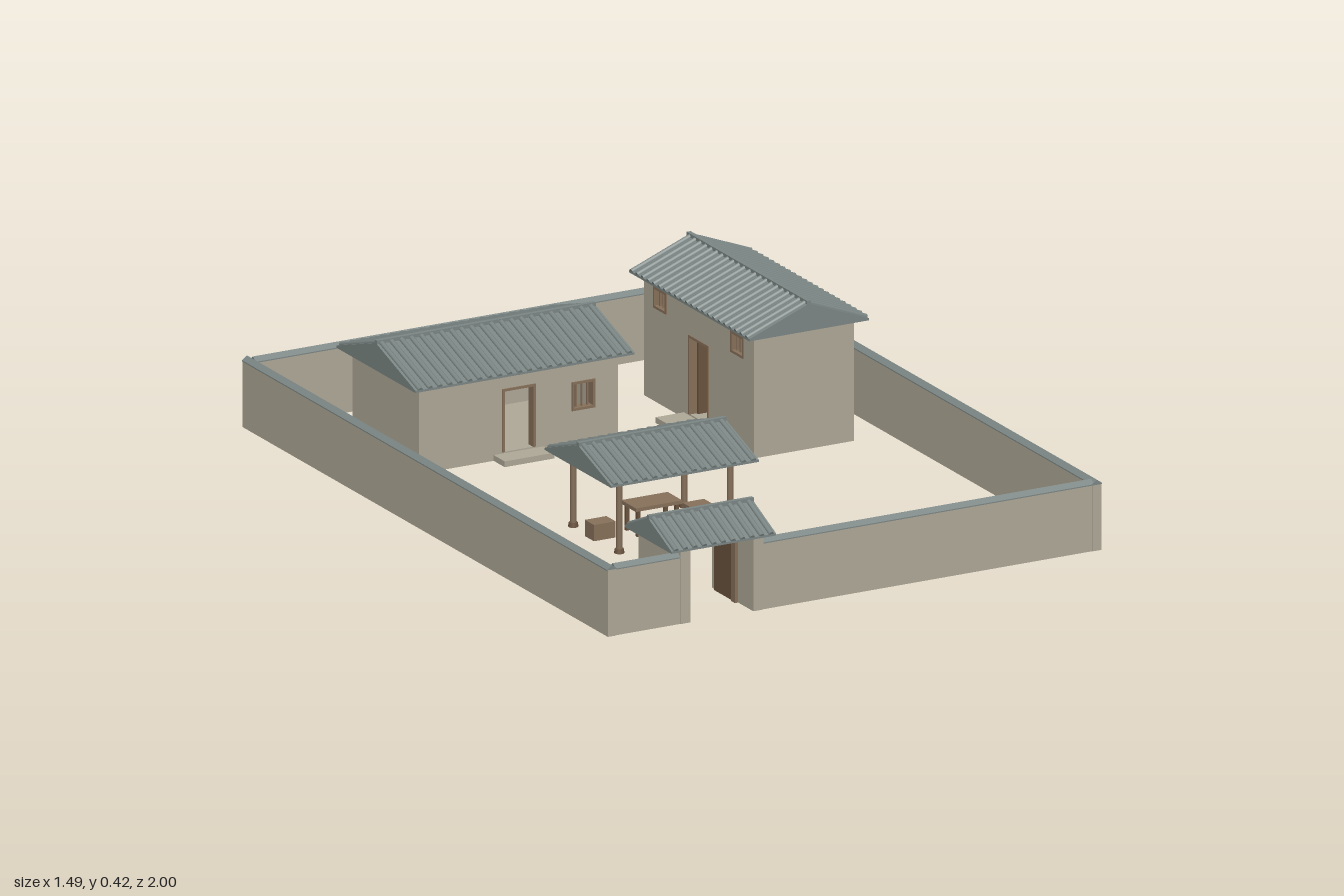
import * as THREE from 'three';
import { mergeGeometries } from 'three/addons/utils/BufferGeometryUtils.js';

const mat = (name, color) => {
  const m = new THREE.MeshStandardMaterial({ color });
  m.name = name;
  return m;
};

export function createModel() {
  const plaster = mat('plaster', 0xaea897);
  const tile = mat('roofTile', 0x7b8684);
  const wood = mat('wood', 0x86705a);
  const darkWood = mat('darkWood', 0x6a523d);
  const root = new THREE.Group();
  root.name = 'courtyard';

  const group = (name, parent, x = 0, y = 0, z = 0) => {
    const g = new THREE.Group();
    g.name = name;
    g.position.set(x, y, z);
    parent.add(g);
    return g;
  };
  const add = (parent, name, geo, m, x = 0, y = 0, z = 0) => {
    const mesh = new THREE.Mesh(geo, m);
    mesh.name = name;
    mesh.position.set(x, y, z);
    parent.add(mesh);
    return mesh;
  };
  // Box given by its centre in x and z and its lower face in y
  const box = (parent, name, m, w, h, d, x, y, z) =>
    add(parent, name, new THREE.BoxGeometry(w, h, d), m, x, y + h / 2, z);

  // Gabled prism with its ridge along x and a thin upright eave edge
  const prism = (w, d, rise, edge) => {
    const s = new THREE.Shape([[-d / 2, 0], [d / 2, 0], [d / 2, edge], [0, rise], [-d / 2, edge]]
      .map(([a, b]) => new THREE.Vector2(a, b)));
    const g = new THREE.ExtrudeGeometry(s, { depth: w, bevelEnabled: false });
    return g.translate(0, 0, -w / 2).rotateY(Math.PI / 2);
  };

  // Tiled roof: prism, round tile rows down both slopes, ridge bar
  const roof = (parent, w, d, rise, x, y, z) => {
    const r = group('roof', parent, x, y, z);
    const peak = rise - 0.006, edge = 0.006, drop = peak - edge;
    add(r, 'roofBody', prism(w, d, peak, edge), tile);
    const n = Math.round(w / 0.03), step = w / n, len = Math.hypot(d / 2, drop);
    const rows = [];
    for (const side of [-1, 1]) {
      for (let i = 0; i < n; i++) {
        const g = new THREE.CylinderGeometry(0.0075, 0.0075, len, 8);
        g.rotateX(Math.atan2(side * d / 2, -drop));
        rows.push(g.translate(-w / 2 + (i + 0.5) * step, edge + drop / 2, side * d / 4));
      }
    }
    add(r, 'tileRows', mergeGeometries(rows), tile);
    box(r, 'ridge', tile, w, 0.012, 0.012, 0, rise - 0.01, 0);
  };

  // Rectangular wooden frame around an opening in the xy plane
  const frame = (parent, name, w, h, x, y, z, t = 0.007) => {
    const f = group(name, parent, x, y, z);
    for (const s of [-1, 1]) {
      box(f, 'jamb', wood, t, h, 0.026, s * (w - t) / 2, 0, 0);
    }
    box(f, 'head', wood, w, t, 0.026, 0, h - t, 0);
    return f;
  };

  // House facing +z, with open doorway, door leaf, barred windows and doorstep
  const house = (name, x, z, o) => {
    const { w, d, h, door, windows } = o, t = 0.02, floor = 0.02;
    const g = group(name, root, x, 0, z);
    const rect = (P, cx, y0, rw, rh) => new P([[-1, 0], [1, 0], [1, 1], [-1, 1]]
      .map(([a, b]) => new THREE.Vector2(cx + a * rw / 2, y0 + b * rh)));
    const front = rect(THREE.Shape, 0, 0, w, h);
    front.holes.push(rect(THREE.Path, 0, floor, door.w, door.h));
    for (const v of windows) front.holes.push(rect(THREE.Path, v.x, v.y, v.w, v.h));
    const fz = d / 2 - t / 2;
    add(g, 'frontWall', new THREE.ExtrudeGeometry(front, { depth: t, bevelEnabled: false }),
      plaster, 0, 0, d / 2 - t);
    box(g, 'backWall', plaster, w, h, t, 0, 0, -fz);
    for (const s of [-1, 1]) box(g, 'sideWall', plaster, t, h, d - 2 * t, s * (w - t) / 2, 0, 0);
    box(g, 'floor', plaster, w - 2 * t, floor, d - 2 * t, 0, 0, 0);
    frame(g, 'doorFrame', door.w, door.h, 0, floor, fz);
    box(g, 'doorLeaf', darkWood, 0.008, door.h - 0.01, door.w - 0.015,
      -door.w / 2 + 0.011, floor, d / 2 - t - (door.w - 0.015) / 2);
    for (const v of windows) {
      const f = frame(g, 'windowFrame', v.w, v.h, v.x, v.y, fz);
      box(f, 'sill', wood, v.w, 0.007, 0.026, 0, 0, 0);
      for (const k of [-1, 0, 1]) box(f, 'bar', wood, 0.004, v.h, 0.006, k * v.w / 4, 0, 0);
    }
    box(g, 'doorstep', plaster, o.stepW, 0.016, o.stepD, 0, 0, d / 2 + o.stepD / 2);
    roof(g, o.roofW, o.roofD, o.rise, 0, h, 0);
    return g;
  };

  house('mainHouse', -0.225, -0.615, {
    w: 0.6, d: 0.36, h: 0.24, roofW: 0.66, roofD: 0.43, rise: 0.082, stepW: 0.15, stepD: 0.06,
    door: { w: 0.1, h: 0.175 }, windows: [{ x: 0.195, y: 0.1, w: 0.07, h: 0.08 }],
  });
  house('sideHouse', 0.46, -0.42, {
    w: 0.6, d: 0.3, h: 0.338, roofW: 0.655, roofD: 0.36, rise: 0.082, stepW: 0.165, stepD: 0.085,
    door: { w: 0.11, h: 0.22 },
    windows: [-1, 1].map((s) => ({ x: s * 0.21, y: 0.26, w: 0.07, h: 0.06 })),
  }).rotation.y = -Math.PI / 2;

  // Boundary wall with gabled caps
  const yard = group('boundaryWall', root);
  const run = (len, x, z, alongZ) => {
    const s = group('wallSection', yard, x, 0, z);
    if (alongZ) s.rotation.y = Math.PI / 2;
    box(s, 'wall', plaster, len, 0.185, 0.026, 0, 0, 0);
    add(s, 'wallCap', prism(len, 0.03, 0.014, 0.003), tile, 0, 0.183, 0);
  };
  for (const s of [-1, 1]) run(1.985, s * 0.73, -0.0075, true);
  run(1.44, 0, -0.985, false);
  run(0.195, -0.6225, 0.97, false);
  run(0.995, 0.2225, 0.97, false);

  // Gatehouse with side walls, lintels and doors standing open
  const gate = group('gatehouse', root, -0.4, 0, 0.872);
  for (const s of [-1, 1]) {
    box(gate, 'gateWall', plaster, 0.03, 0.205, 0.226, s * 0.11, 0, 0);
    box(gate, 'gatePost', wood, 0.01, 0.175, 0.02, s * 0.09, 0, 0.02);
    box(gate, 'gateDoor', darkWood, 0.008, 0.165, 0.09, s * 0.088, 0.004, -0.035);
  }
  box(gate, 'lintel', wood, 0.19, 0.03, 0.02, 0, 0.175, 0.02);
  roof(gate, 0.315, 0.255, 0.068, -0.002, 0.205, 0);

  // Open pavilion
  const pav = group('pavilion', root, -0.212, 0, 0.265);
  for (const x of [-0.167, 0.167]) {
    for (const z of [-0.125, 0.125]) {
      add(pav, 'post', new THREE.CylinderGeometry(0.0085, 0.0085, 0.19, 12), wood, x, 0.1, z);
      add(pav, 'postBase', new THREE.CylinderGeometry(0.012, 0.014, 0.012, 12), darkWood, x, 0.006, z);
    }
    box(pav, 'crossBeam', wood, 0.016, 0.02, 0.25, x, 0.187, 0);
  }
  for (const z of [-0.125, 0.125]) box(pav, 'longBeam', wood, 0.36, 0.02, 0.016, 0, 0.187, z);
  roof(pav, 0.445, 0.36, 0.072, 0, 0.205, 0);

  // Table and two block stools
  const table = group('table', pav);
  box(table, 'tableTop', wood, 0.14, 0.01, 0.08, 0, 0.072, 0);
  for (const x of [-0.058, 0.058]) {
    for (const z of [-0.03, 0.03]) box(table, 'tableLeg', darkWood, 0.01, 0.072, 0.01, x, 0, z);
  }
  for (const s of [-1, 1]) box(pav, 'stool', wood, 0.065, 0.045, 0.05, s * 0.147, 0, -0.015);

  return root;
}
